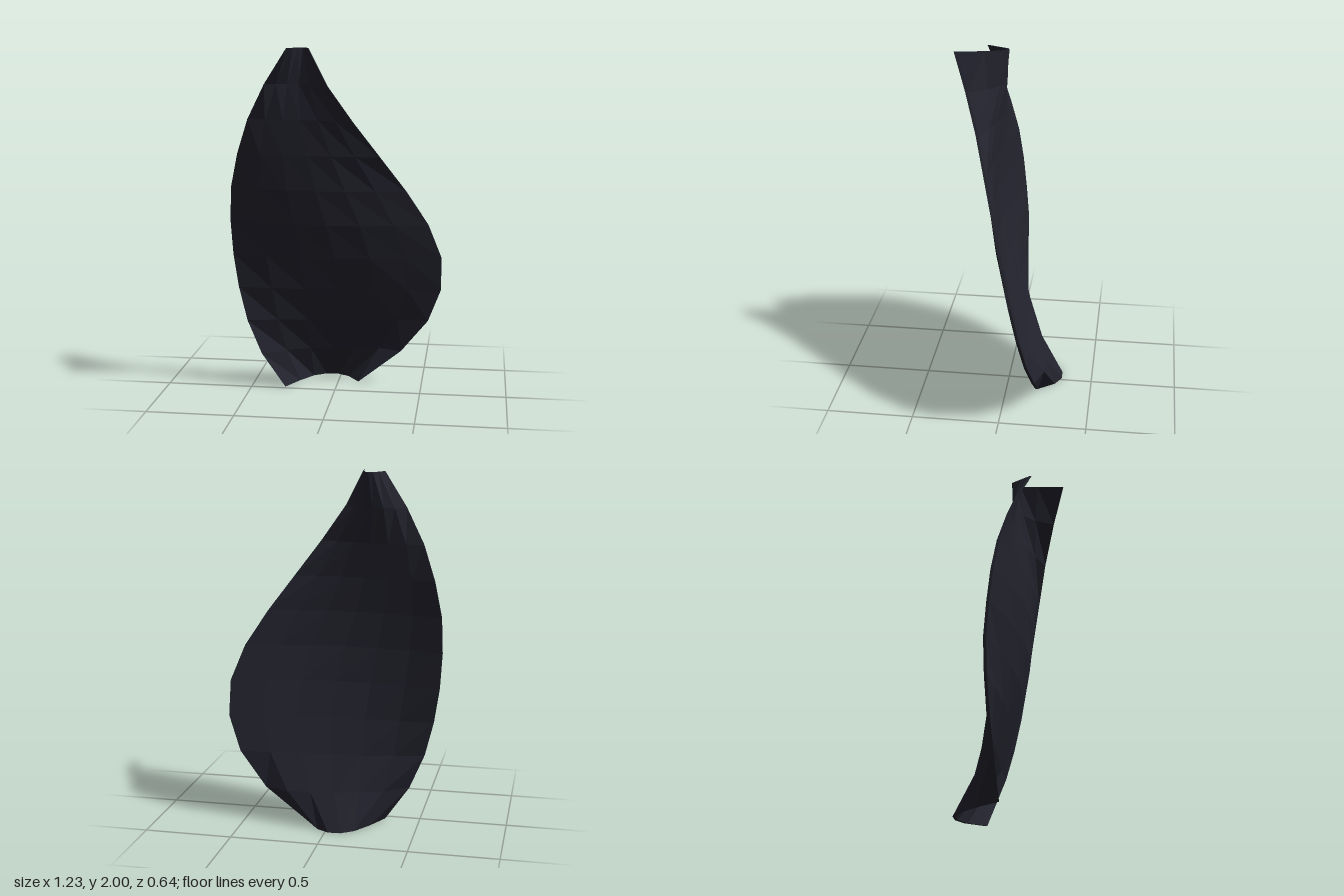
import * as THREE from 'three';

const THICKNESS = 0.016;

// Cross-sections every 0.2 in height: left x, right x, then seven evenly spaced z depths
const SECTIONS = [
  [-0.30, 0.12, -0.03, -0.16, -0.262, -0.31, -0.314, -0.276, -0.18],
  [-0.44, 0.375, -0.03, -0.122, -0.175, -0.205, -0.222, -0.227, -0.184],
  [-0.525, 0.535, -0.035, -0.07, -0.1, -0.115, -0.13, -0.148, -0.157],
  [-0.575, 0.61, -0.042, -0.036, -0.036, -0.045, -0.062, -0.09, -0.122],
  [-0.605, 0.61, -0.042, -0.01, 0.014, 0.022, 0.004, -0.036, -0.078],
  [-0.615, 0.535, -0.025, 0.022, 0.052, 0.067, 0.057, 0.022, -0.027],
  [-0.605, 0.41, -0.006, 0.042, 0.072, 0.087, 0.087, 0.068, 0.032],
  [-0.56, 0.265, 0.018, 0.052, 0.074, 0.088, 0.098, 0.102, 0.097],
  [-0.49, 0.12, 0.058, 0.06, 0.068, 0.078, 0.093, 0.118, 0.162],
  [-0.385, -0.01, 0.098, 0.066, 0.05, 0.05, 0.076, 0.135, 0.237],
  [-0.25, -0.10, 0.145, 0.09, 0.035, 0.028, 0.06, 0.16, 0.312],
];

export function createModel() {
  const group = new THREE.Group();
  const dark = new THREE.MeshStandardMaterial({ color: 0x23232e, flatShading: true });
  dark.name = 'darkSlate';

  const cols = 7, rows = SECTIONS.length, layer = cols * rows;
  const positions = [], index = [];

  // Front layer, then back layer
  for (const side of [1, -1]) {
    SECTIONS.forEach(([left, right, ...depths], r) => {
      depths.forEach((z, c) => positions.push(
        THREE.MathUtils.lerp(left, right, c / (cols - 1)), r * 0.2, z + side * THICKNESS / 2));
    });
  }

  const quad = (a, b, c, d) => index.push(a, b, d, b, c, d);
  const id = (r, c) => r * cols + c;

  // Both faces of the curved sheet
  for (let r = 0; r < rows - 1; r++) {
    for (let c = 0; c < cols - 1; c++) {
      const a = id(r, c), b = id(r, c + 1), d = id(r + 1, c), e = id(r + 1, c + 1);
      quad(a, b, e, d);
      index.push(b + layer, a + layer, d + layer, b + layer, d + layer, e + layer);
    }
  }

  // Rim strip, following the outline counterclockwise
  const rim = [];
  for (let c = 0; c < cols - 1; c++) rim.push(id(0, c));
  for (let r = 0; r < rows - 1; r++) rim.push(id(r, cols - 1));
  for (let c = cols - 1; c > 0; c--) rim.push(id(rows - 1, c));
  for (let r = rows - 1; r > 0; r--) rim.push(id(r, 0));
  rim.forEach((a, i) => {
    const b = rim[(i + 1) % rim.length];
    quad(a, a + layer, b + layer, b);
  });

  const geometry = new THREE.BufferGeometry();
  geometry.setAttribute('position', new THREE.Float32BufferAttribute(positions, 3));
  geometry.setIndex(index);
  geometry.computeVertexNormals();

  const blade = new THREE.Mesh(geometry, dark);
  blade.name = 'curvedBlade';
  group.add(blade);
  return group;
}
